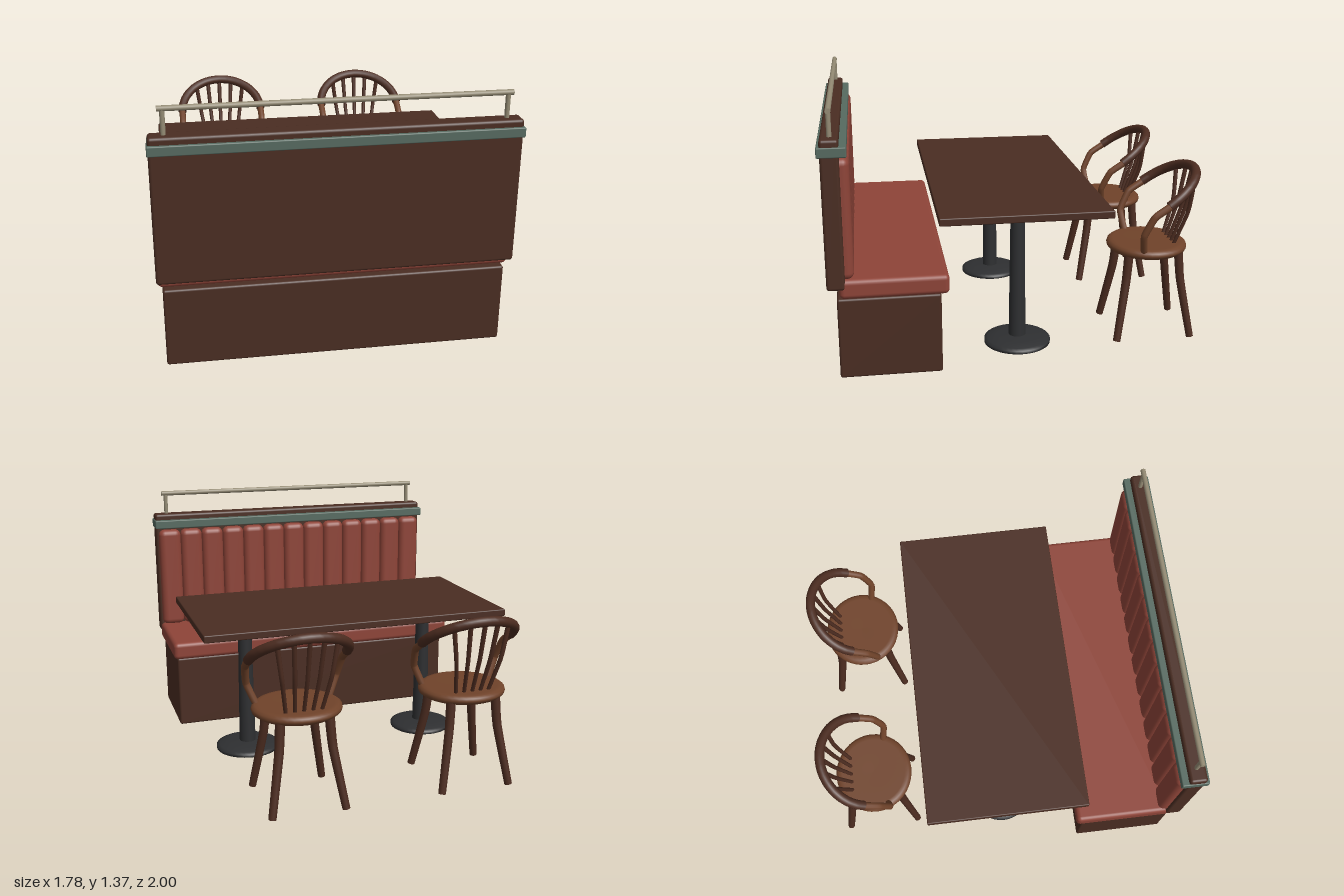
import * as THREE from 'three';
import { mergeGeometries } from 'three/addons/utils/BufferGeometryUtils.js';
import { RoundedBoxGeometry } from 'three/addons/geometries/RoundedBoxGeometry.js';

const material = (name, color) => {
  const m = new THREE.MeshStandardMaterial({ color });
  m.name = name;
  return m;
};

const darkWood = material('dark wood', 0x4a2d22);
const chairWood = material('chair wood', 0x4c2c20);
const lightWood = material('light wood', 0x70432a);
const redLeather = material('red leather', 0x8e4438);
const greenTrim = material('green trim', 0x566a60);
const brass = material('dull brass', 0x948b74);
const iron = material('black iron', 0x2e2f31);

function add(parent, name, geometry, mat, x = 0, y = 0, z = 0) {
  const mesh = new THREE.Mesh(geometry, mat);
  mesh.name = name;
  mesh.position.set(x, y, z);
  parent.add(mesh);
  return mesh;
}

// Rounded box given by its limits in y and z, centred on x
function slab(parent, name, mat, width, y0, y1, z0, z1, r, x = 0) {
  const geometry = new RoundedBoxGeometry(width, y1 - y0, z1 - z0, 3, r);
  return add(parent, name, geometry, mat, x, (y0 + y1) / 2, (z0 + z1) / 2);
}

// Capped rod through points, tapering from r0 to r1
function rod(points, r0, r1, segments = 12, sides = 10) {
  const curve = new THREE.CatmullRomCurve3(
    points.map((p) => new THREE.Vector3(...p)), false, 'catmullrom', 0.2);
  const tube = new THREE.TubeGeometry(curve, segments, 1, sides);
  const pos = tube.attributes.position;
  const v = new THREE.Vector3();
  for (let i = 0; i < pos.count; i++) {
    const t = tube.attributes.uv.getX(i);
    const centre = curve.getPointAt(t);
    v.fromBufferAttribute(pos, i).sub(centre)
      .multiplyScalar(r0 + (r1 - r0) * t).add(centre);
    pos.setXYZ(i, v.x, v.y, v.z);
  }
  const caps = [[0, r0, -1], [1, r1, 1]].map(([t, r, sign]) => {
    const holder = new THREE.Object3D();
    holder.position.copy(curve.getPointAt(t));
    holder.lookAt(holder.position.clone().addScaledVector(curve.getTangentAt(t), sign));
    holder.updateMatrix();
    return new THREE.CircleGeometry(r, sides).applyMatrix4(holder.matrix);
  });
  return mergeGeometries([tube, ...caps]);
}

function lathe(profile, sides = 32) {
  return new THREE.LatheGeometry(profile.map((p) => new THREE.Vector2(...p)), sides);
}

function createBench() {
  const bench = new THREE.Group();
  bench.name = 'bench';
  slab(bench, 'benchBase', darkWood, 1.715, 0.005, 0.425, 0.43, 0.94, 0.012);
  slab(bench, 'seatCushion', redLeather, 1.76, 0.43, 0.53, 0.39, 0.925, 0.025);
  slab(bench, 'backPanel', darkWood, 1.77, 0.48, 1.225, 0.895, 0.985, 0.015);
  slab(bench, 'backTrim', greenTrim, 1.78, 1.14, 1.19, 0.86, 1.0, 0.006);

  // Upright padded channels
  const count = 13;
  const width = 1.74 / count;
  for (let i = 0; i < count; i++) {
    const x = (i - (count - 1) / 2) * width;
    slab(bench, 'backPadding', redLeather, width, 0.525, 1.13, 0.85, 0.93, 0.035, x);
  }

  // Rail above the back
  const rail = new THREE.CylinderGeometry(0.014, 0.014, 1.67, 12).rotateZ(Math.PI / 2);
  add(bench, 'topRail', rail, brass, 0, 1.35, 0.937);
  for (const s of [-1, 1]) {
    add(bench, 'railPost', new THREE.CylinderGeometry(0.012, 0.012, 0.14, 12), brass,
      s * 0.81, 1.28, 0.937);
  }
  return bench;
}

function createTable() {
  const table = new THREE.Group();
  table.name = 'table';
  slab(table, 'tableTop', darkWood, 1.7, 0.77, 0.81, -0.44, 0.435, 0.006);
  const base = lathe([[0, 0], [0.178, 0], [0.178, 0.016], [0.16, 0.024],
    [0.11, 0.038], [0, 0.042]], 36);
  const column = new THREE.CylinderGeometry(0.037, 0.046, 0.72, 24);
  const flare = new THREE.CylinderGeometry(0.08, 0.037, 0.035, 24);
  for (const x of [-0.54, 0.54]) {
    add(table, 'pedestalBase', base, iron, x);
    add(table, 'pedestalColumn', column, iron, x, 0.39);
    add(table, 'pedestalFlare', flare, iron, x, 0.753);
  }
  return table;
}

// Point on the tilted hoop, angle 0 at one side and PI at the other
function hoopPoint(a) {
  return [0.25 * Math.cos(a), 0.77 + 0.143 * Math.sin(a), -0.77 - 0.203 * Math.sin(a)];
}

function createChair(x) {
  const chair = new THREE.Group();
  chair.name = 'chair';
  chair.position.x = x;

  const seat = lathe([[0, 0.455], [0.17, 0.456], [0.208, 0.465], [0.226, 0.478],
    [0.23, 0.49], [0.226, 0.503], [0.212, 0.513], [0.19, 0.515], [0, 0.512]], 40);
  seat.scale(1, 1, 0.94);
  add(chair, 'chairSeat', seat, lightWood, 0, 0, -0.73);

  for (const s of [-1, 1]) {
    add(chair, 'frontLeg', rod([[s * 0.19, 0.003, -0.53], [s * 0.137, 0.32, -0.585],
      [s * 0.125, 0.48, -0.6]], 0.02, 0.025), chairWood);
    add(chair, 'backLeg', rod([[s * 0.19, 0.003, -0.94], [s * 0.137, 0.32, -0.887],
      [s * 0.125, 0.48, -0.873]], 0.02, 0.025), chairWood);
    add(chair, 'armSupport', rod([[s * 0.19, 0.5, -0.662], [s * 0.235, 0.61, -0.645],
      [s * 0.25, 0.715, -0.695], [s * 0.25, 0.775, -0.785]], 0.018, 0.02, 24), lightWood);
  }

  // Bent hoop and its fan of spindles
  const arc = Array.from({ length: 17 }, (_, i) => hoopPoint((i / 16) * Math.PI));
  add(chair, 'backHoop', rod(arc, 0.026, 0.026, 40, 12), chairWood);
  for (let i = -2; i <= 2; i++) {
    const top = hoopPoint(Math.acos((i * 0.075) / 0.25));
    const bottom = [i * 0.045, 0.5, -0.853];
    const middle = [i * 0.062, 0.7, -0.925 + Math.abs(i) * 0.004];
    add(chair, 'backSpindle', rod([bottom, middle, top], 0.01, 0.013, 10, 8), chairWood);
  }
  return chair;
}

export function createModel() {
  const model = new THREE.Group();
  model.name = 'diningBooth';
  model.add(createBench(), createTable(), createChair(-0.45), createChair(0.45));
  return model;
}
